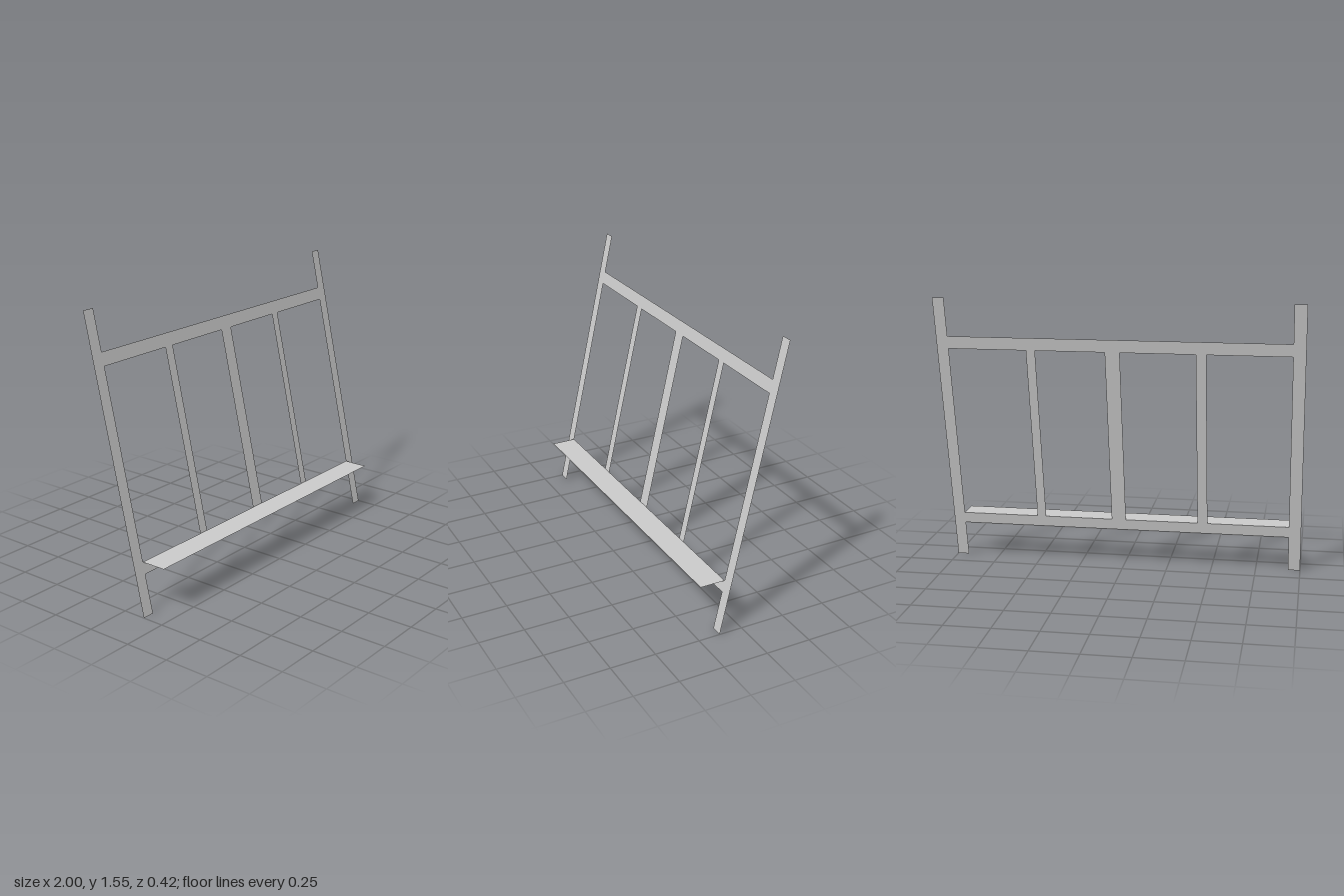
import * as THREE from 'three';

const HEIGHT = 1.55, Z_FOOT = 0.13, Z_TOP = -0.215;
const LEAN = Math.atan2(Z_FOOT - Z_TOP, HEIGHT);
const zAt = (y) => Z_FOOT - y * Math.tan(LEAN);

export function createModel() {
  const group = new THREE.Group();
  const material = new THREE.MeshStandardMaterial({ color: 0xcccccc, side: THREE.DoubleSide });

  // Thin flat slat lying in the backward-leaning plane
  function slat(name, x0, x1, y0, y1) {
    const mesh = new THREE.Mesh(new THREE.PlaneGeometry(x1 - x0, (y1 - y0) / Math.cos(LEAN)), material);
    const y = (y0 + y1) / 2;
    mesh.position.set((x0 + x1) / 2, y, zAt(y));
    mesh.rotation.x = -LEAN;
    mesh.name = name;
    group.add(mesh);
  }

  // Side posts
  slat('rightPost', -1, -0.932, 0, HEIGHT);
  slat('leftPost', 0.936, 1, 0, HEIGHT);

  // Cross rails
  slat('bottomRail', -0.932, 0.936, 0.207, 0.27);
  slat('topRail', -0.932, 0.936, 1.265, 1.335);

  // Upright bars between the rails
  slat('rightBar', -0.476, -0.42, 0.27, 1.265);
  slat('centreBar', -0.011, 0.07, 0.27, 1.265);
  slat('leftBar', 0.453, 0.503, 0.27, 1.265);

  // Flat ledge projecting forward from the bottom rail's top edge
  const ledge = new THREE.Mesh(new THREE.PlaneGeometry(1.868, 0.14), material);
  ledge.rotation.x = -Math.PI / 2;
  ledge.position.set(0.002, 0.27, zAt(0.27) + 0.07);
  ledge.name = 'ledge';
  group.add(ledge);

  return group;
}
